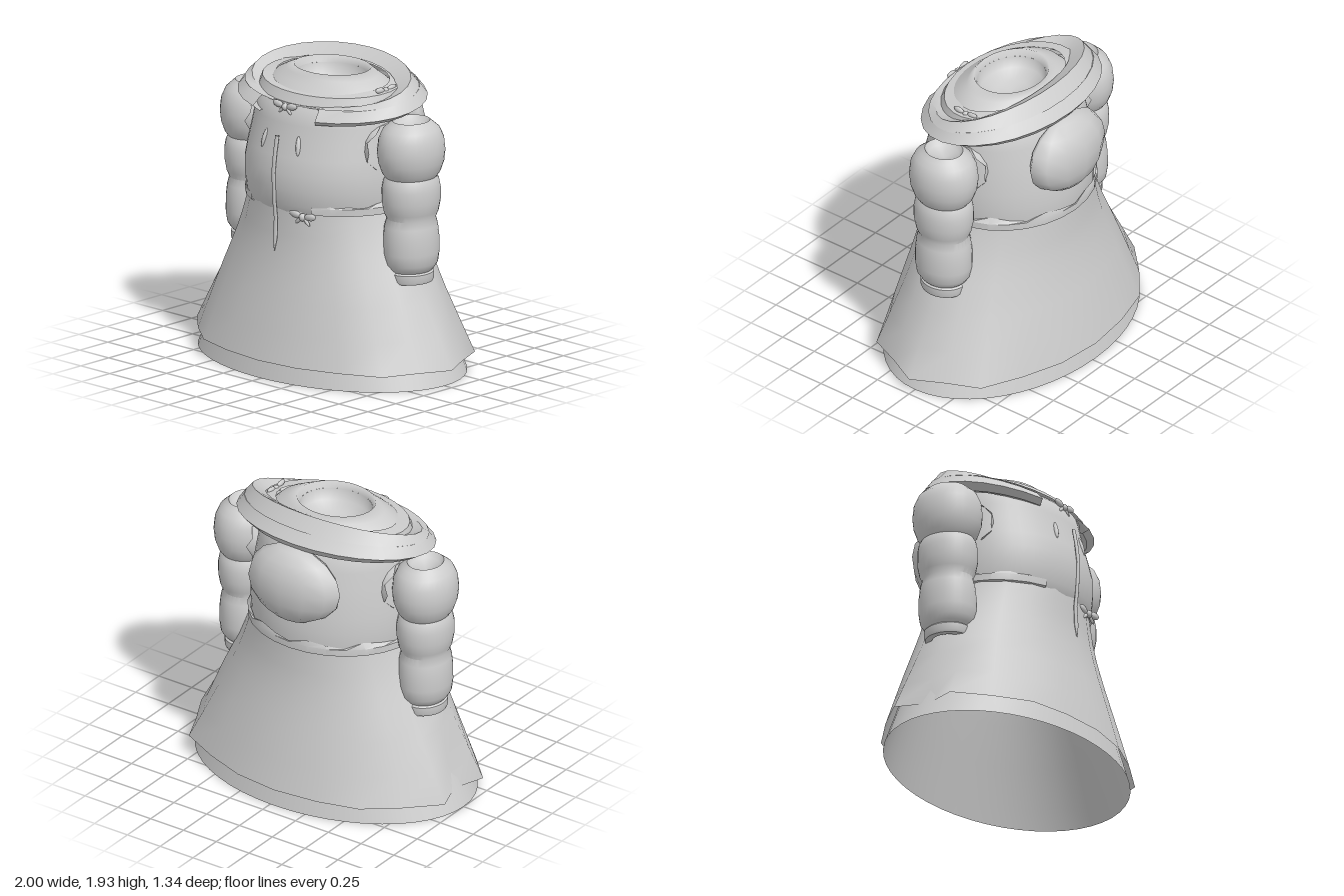
import * as THREE from 'three';
import { toCreasedNormals } from 'three/addons/utils/BufferGeometryUtils.js';

const CX = -0.03; // symmetry line of the dress

// Elliptical loft. Rings are [y, rx, rz, cz, tilt]; bend(p, ringIndex, column) may adjust a point.
function loft(rings, seg, { bend = null, closed = false, from = 0, to = Math.PI * 2 } = {}) {
  const pos = [], idx = [], full = to - from > 6.28;
  const cols = full ? seg : seg + 1;
  rings.forEach(([y, rx, rz, cz = 0, tilt = 0], r) => {
    for (let i = 0; i < cols; i++) {
      const a = from + (to - from) * i / seg;
      const p = new THREE.Vector3(rx * Math.cos(a), y - tilt * Math.sin(a), cz + rz * Math.sin(a));
      if (bend) bend(p, r, i);
      pos.push(p.x, p.y, p.z);
    }
  });
  const n = rings.length;
  for (let r = 0; r < (closed ? n : n - 1); r++) {
    for (let i = 0; i < seg; i++) {
      const j = (i + 1) % cols, s = (r + 1) % n;
      const a = r * cols + i, b = r * cols + j, c = s * cols + j, d = s * cols + i;
      idx.push(a, d, b, b, d, c);
    }
  }
  const g = new THREE.BufferGeometry();
  g.setAttribute('position', new THREE.Float32BufferAttribute(pos, 3));
  g.setIndex(idx);
  g.computeVertexNormals();
  return g;
}

// Angles of an arc that leaves a gap of the given half-angle at the front
const frontGap = (half) => ({ from: Math.PI / 2 + half, to: Math.PI * 2.5 - half });

export function createModel() {
  const root = new THREE.Group();
  root.name = 'dress';
  const cloth = new THREE.MeshStandardMaterial({ color: 0xcccccc, side: THREE.DoubleSide });
  cloth.name = 'pale grey cloth';
  const add = (name, geo, x = CX, y = 0, z = 0, parent = root) => {
    const m = new THREE.Mesh(geo, cloth);
    m.name = name;
    m.position.set(x, y, z);
    parent.add(m);
    return m;
  };

  // Underskirt, smooth and open at the hem
  add('underskirt', loft([
    [0, 0.97, 0.67], [0.11, 0.92, 0.645], [0.35, 0.81, 0.59], [0.6, 0.7, 0.53],
    [0.8, 0.62, 0.49], [0.95, 0.56, 0.475], [1.08, 0.53, 0.475]], 48));

  // Overskirt: faceted hem, pointed on one side, pleated on the other, flaring at the corners
  const overskirt = loft([
    [0.11, 0.97, 0.67], [0.3, 0.89, 0.625], [0.5, 0.805, 0.575], [0.6, 0.76, 0.55], [0.7, 0.71, 0.53],
    [0.8, 0.66, 0.512], [0.9, 0.615, 0.502], [1.0, 0.575, 0.498], [1.08, 0.55, 0.495]], 20, {
    bend: (p, r, i) => {
      const w = THREE.MathUtils.clamp((0.55 - p.y) / 0.44, 0, 1);
      if (i === 0) p.x += 0.06 * w;
      if (i === 10) p.x += 0.07 * w;
      if (i === 9 || i === 11) p.x -= 0.05 * w;
      if (i === 2 || i === 18) {
        p.x *= 1 + 0.06 * w;
        p.z *= 1 + 0.05 * w;
      }
      if (i === 7 || i === 13) p.z *= 1 + 0.04 * w;
    },
  });
  add('overskirt', overskirt);

  // Bodice rising over the shoulders into an open neck
  add('bodice', loft([
    [1.04, 0.54, 0.485, 0], [1.1, 0.55, 0.505, 0.01], [1.2, 0.56, 0.51, 0.015], [1.3, 0.555, 0.505, 0.02],
    [1.4, 0.545, 0.485, 0.015], [1.5, 0.53, 0.46, 0.01], [1.6, 0.515, 0.435, 0.01], [1.7, 0.5, 0.41, 0.01],
    [1.77, 0.45, 0.34], [1.82, 0.4, 0.28], [1.855, 0.33, 0.24], [1.885, 0.26, 0.215], [1.84, 0.24, 0.2]], 48));
  add('neckLining', loft([[1.84, 0.24, 0.2], [1.77, 0.22, 0.18], [1.73, 0.12, 0.1], [1.72, 0.001, 0.001]], 32));

  // Tilted shoulder collar: an upper band all round, and a hanging flap open at the front
  add('collarBand', toCreasedNormals(loft([
    [1.765, 0.57, 0.41, 0, 0.04], [1.775, 0.645, 0.42, 0, 0.055],
    [1.825, 0.6, 0.35, 0.01, 0.105], [1.78, 0.49, 0.25, 0, 0.09]], 28, { closed: true }), 0.5));
  add('collarFlap', toCreasedNormals(loft([
    [1.69, 0.56, 0.4, 0, 0.055], [1.675, 0.62, 0.44, 0, 0.055], [1.715, 0.685, 0.475, 0, 0.065],
    [1.78, 0.64, 0.415, 0, 0.07], [1.77, 0.57, 0.4, 0, 0.05]], 24, { closed: true, ...frontGap(0.4) }), 0.5));

  // Inner collar layer around the neck
  add('innerCollar', toCreasedNormals(loft([
    [1.74, 0.52, 0.4, 0, 0.03], [1.81, 0.5, 0.36, 0, 0.03], [1.82, 0.42, 0.27, 0, 0.03]], 28), 0.5));

  // Waist belt, open at the front
  const belt = loft([
    [1.05, 0.55, 0.49], [1.055, 0.575, 0.51], [1.1, 0.575, 0.512], [1.12, 0.55, 0.505]], 24, {
    ...frontGap(0.46),
    bend: (p, r, i) => { if (r === 3) p.y += (i % 3 - 1) * 0.018; },
  });
  add('belt', toCreasedNormals(belt, 0.5));

  // Puffed sleeves with cuffs
  const profile = [
    [0.63, 0.1], [0.63, 0.145], [0.645, 0.152], [0.69, 0.152], [0.7, 0.14], [0.715, 0.155], [0.75, 0.178],
    [0.82, 0.188], [0.92, 0.186], [0.99, 0.178], [1.04, 0.164], [1.08, 0.182], [1.15, 0.196], [1.23, 0.196],
    [1.28, 0.186], [1.305, 0.172], [1.335, 0.195], [1.4, 0.219], [1.47, 0.227], [1.55, 0.218],
    [1.61, 0.19], [1.64, 0.155], [1.665, 0.125], [1.63, 0.1], [1.6, 0.001]];
  for (const [side, s] of [['left', 1], ['right', -1]]) {
    const sleeve = toCreasedNormals(loft(profile.map(([y, r]) => [y, r * 0.88, r]), 32), 0.7);
    add(side + 'Sleeve', sleeve, CX + s * 0.68);
    // ragged frill where the sleeve meets the bodice
    const frill = loft([[0, 0.17, 0.2], [0.07, 0.16, 0.22]], 16, {
      bend: (p, r, i) => { if (r === 1) p.y -= (i % 2) * 0.035; },
    });
    add(side + 'ArmholeFrill', frill, CX + s * 0.47, 1.46, 0.01).rotation.z = -s * Math.PI / 2;
  }

  // Padded bustle on the upper back, flattened against the bodice
  const bustle = new THREE.SphereGeometry(1, 12, 8);
  const bp = bustle.attributes.position;
  for (let i = 0; i < bp.count; i++) {
    const y = bp.getY(i), z = bp.getZ(i);
    bp.setXYZ(i, bp.getX(i) * 0.34, y * 0.25, z < 0 ? z * 0.185 - 0.04 * y * y * (y < 0 ? 1 : 0) : z * 0.08);
  }
  bustle.computeVertexNormals();
  add('backPad', bustle, -0.02, 1.49, -0.425);

  // Hanging ribbon down the front
  const ribbon = loft([
    [0.79, 0.002, 0.004, 0.52], [0.87, 0.018, 0.01, 0.515], [1.0, 0.014, 0.01, 0.508], [1.1, 0.014, 0.01, 0.52],
    [1.3, 0.015, 0.01, 0.53], [1.42, 0.015, 0.01, 0.515], [1.53, 0.016, 0.01, 0.495]], 8);
  add('frontRibbon', ribbon);

  // Small bows: two loops, two tails and a knot
  const bow = (name, x, y, z, k, turn = 0) => {
    const g = new THREE.Group();
    g.name = name;
    g.position.set(x, y, z);
    g.rotation.y = turn;
    g.scale.setScalar(k);
    root.add(g);
    const ball = new THREE.SphereGeometry(1, 10, 8);
    add('knot', ball, 0, 0, 0, g).scale.set(0.025, 0.025, 0.025);
    for (const s of [-1, 1]) {
      const loop = add('loop', ball, s * 0.065, 0.012, 0, g);
      loop.scale.set(0.05, 0.024, 0.018);
      loop.rotation.z = s * 0.15;
      const tail = add('tail', ball, s * 0.035, -0.025, 0, g);
      tail.scale.set(0.035, 0.012, 0.01);
      tail.rotation.z = -s * 0.7;
    }
  };
  bow('collarBow', CX, 1.7, 0.425, 0.9);
  bow('waistBow', 0.17, 1.035, 0.475, 1);
  bow('cuffBow', -0.71, 0.54, 0.05, 0.9, Math.PI / 2);
  bow('necklineBow', 0.43, 1.81, 0, 0.8, Math.PI / 2);

  // Leaf-shaped trims on the chest
  for (const s of [-1, 1]) {
    const leaf = add('chestTrim', new THREE.SphereGeometry(1, 8, 8), CX + s * 0.145, 1.48, 0.455);
    leaf.scale.set(0.016, 0.065, 0.02);
    leaf.rotation.set(-0.25, 0, s * 0.15);
  }
  return root;
}
